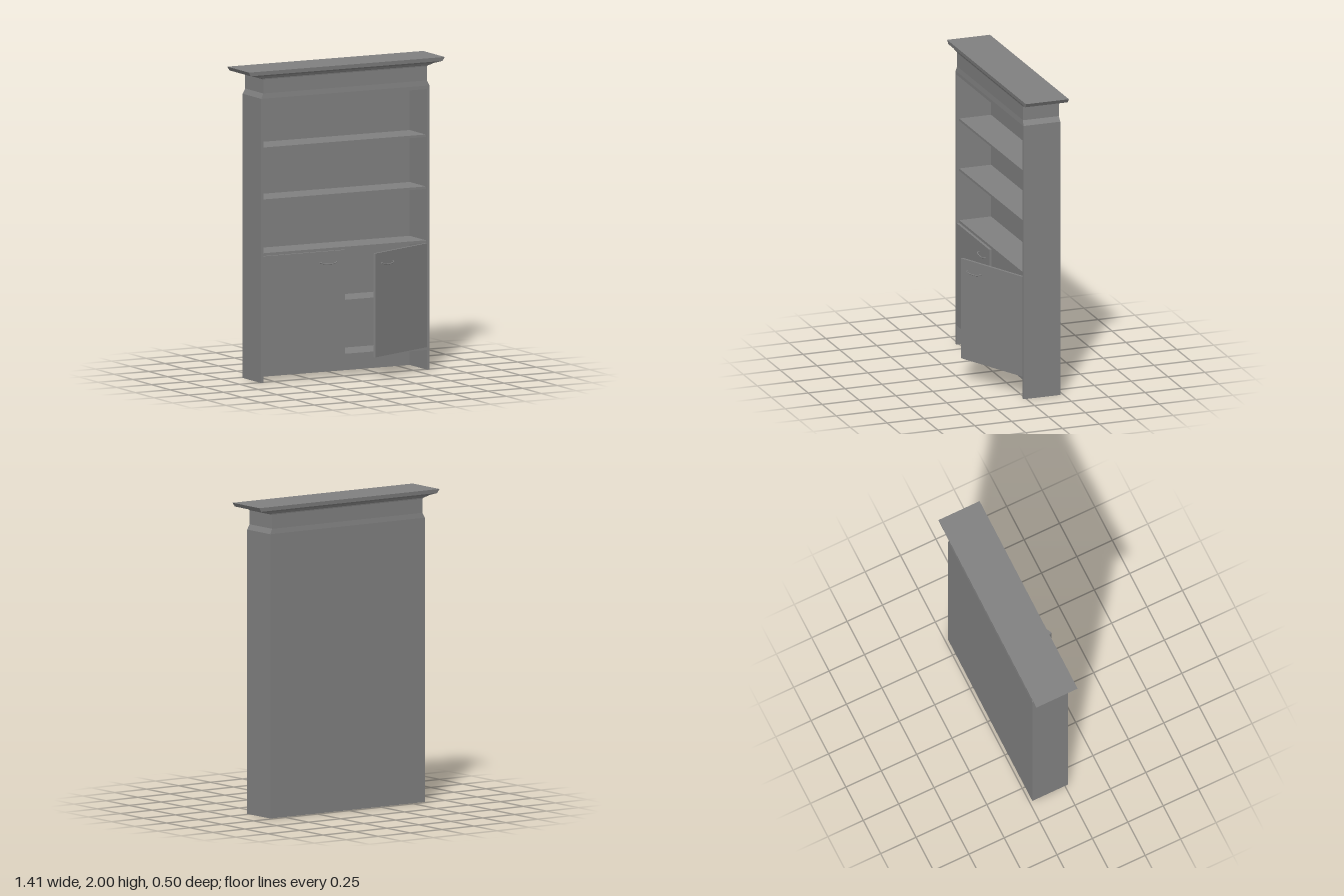
import * as THREE from 'three';

export function createModel() {
  const root = new THREE.Group();
  root.name = 'bookcase';
  const grey = new THREE.MeshStandardMaterial({ color: 0x808080 });
  grey.name = 'grey paint';

  const W = 0.605, T = 0.016;           // half width, board thickness
  const BACK = -0.23, FRONT = 0.02, MID = (BACK + FRONT) / 2;

  // Board given by its limits on each axis
  function board(name, x0, x1, y0, y1, z0, z1, parent = root) {
    const mesh = new THREE.Mesh(new THREE.BoxGeometry(x1 - x0, y1 - y0, z1 - z0), grey);
    mesh.position.set((x0 + x1) / 2, (y0 + y1) / 2, (z0 + z1) / 2);
    mesh.name = name;
    parent.add(mesh);
    return mesh;
  }

  // Carcass
  board('leftSide', W - T, W, 0, 1.8, BACK, FRONT);
  board('rightSide', -W, -W + T, 0, 1.8, BACK, FRONT);
  board('backPanel', -W + T, W - T, 0, 1.8, BACK, BACK + T);
  board('cabinetFloor', -W + T, W - T, 0.127, 0.145, BACK + T, FRONT);
  for (const y of [0.472, 0.812, 1.157, 1.49]) {
    board('shelf', -W + T, W - T, y, y + T, BACK + T, 0.002);
  }

  // Crown: a box whose rows follow a moulding profile [y, scale of the plan]
  const profile = [
    [1.8, 1], [1.822, 1], [1.855, 0.972], [1.945, 0.972], [1.952, 0.985],
    [1.956, 1.01], [1.965, 1.05], [1.975, 1.14], [2.0, 1.165],
  ];
  const rows = profile.length - 1;
  let crownGeo = new THREE.BoxGeometry(2 * W, 1, FRONT - BACK, 1, rows, 1);
  const p = crownGeo.attributes.position;
  for (let i = 0; i < p.count; i++) {
    const [y, s] = profile[Math.round((p.getY(i) + 0.5) * rows)];
    p.setXYZ(i, p.getX(i) * s, y, p.getZ(i) * s);
  }
  crownGeo = crownGeo.toNonIndexed();   // crisp moulding edges
  crownGeo.computeVertexNormals();
  const crown = new THREE.Mesh(crownGeo, grey);
  crown.position.z = MID;
  crown.name = 'crown';
  root.add(crown);

  // Bail handle, centred on x = 0 with its feet on z = 0
  function addHandle(parent, x, y, z) {
    const points = [
      [-0.06, 0.006, 0], [-0.057, 0.006, 0.012], [-0.045, 0, 0.015], [-0.025, -0.004, 0.015],
      [0.025, -0.004, 0.015], [0.045, 0, 0.015], [0.057, 0.006, 0.012], [0.06, 0.006, 0],
    ].map((c) => new THREE.Vector3(...c));
    const curve = new THREE.CatmullRomCurve3(points);
    const handle = new THREE.Mesh(new THREE.TubeGeometry(curve, 32, 0.0035, 8), grey);
    handle.position.set(x, y, z);
    handle.name = 'handle';
    parent.add(handle);
  }

  // Door hung at its pivot; dir is the way it runs along x from the hinge
  function addDoor(name, hingeX, hingeZ, dir, width, angle) {
    const door = new THREE.Group();
    door.name = name;
    board(name + 'Panel', Math.min(0, dir * width), Math.max(0, dir * width), 0.145, 0.811, -T, 0, door);
    addHandle(door, dir * (width - 0.12), 0.736, 0);
    door.position.set(hingeX, 0, hingeZ);
    door.rotation.y = angle;
    root.add(door);
  }
  addDoor('closedDoor', -W + T, FRONT, 1, 0.585, 0);
  addDoor('openDoor', 0.587, FRONT, -1, 0.543, THREE.MathUtils.degToRad(25));

  return root;
}
